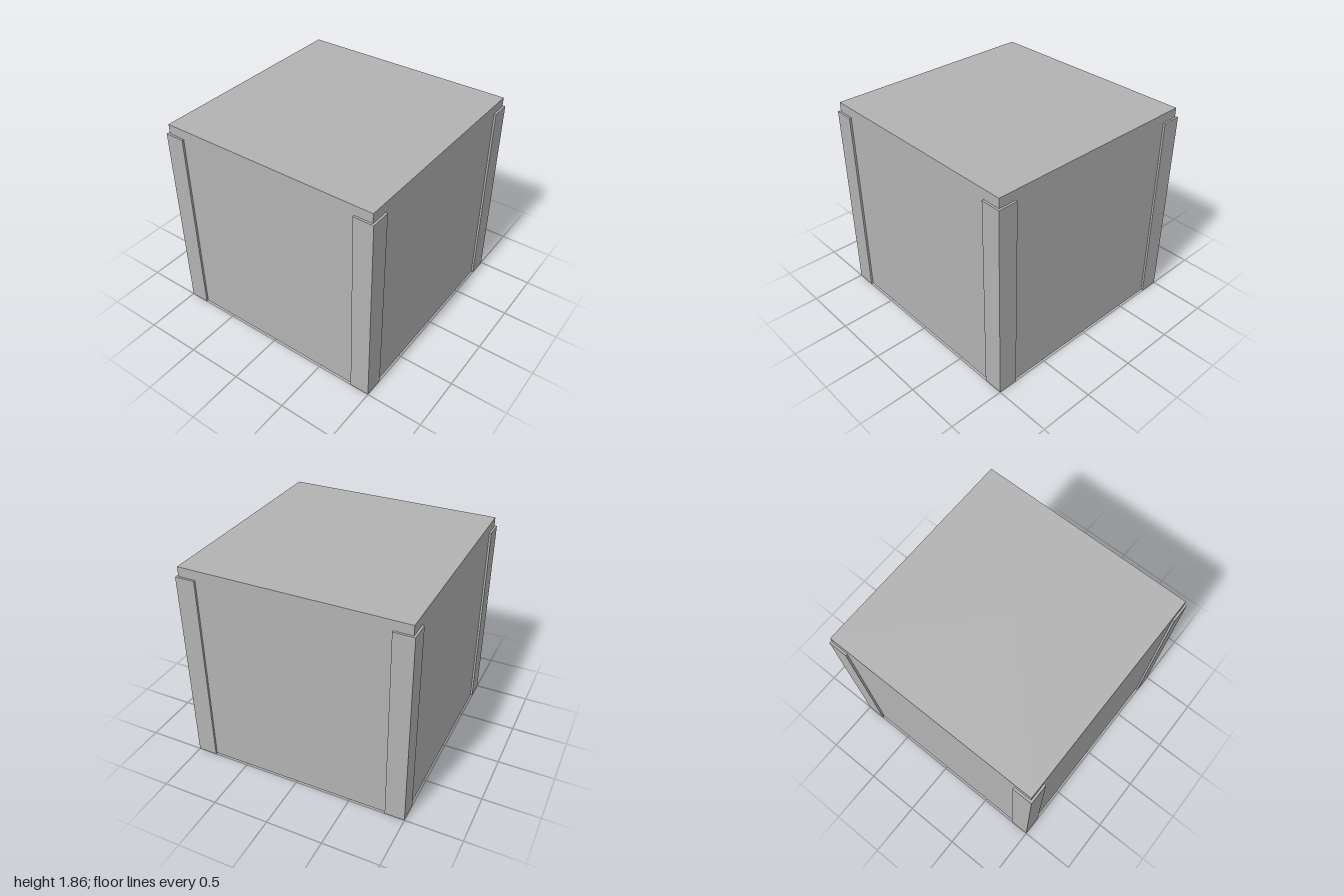
import * as THREE from 'three';

const HEIGHT = 1.86, CEILING = 1.775; // outer top, underside of the top panel
const OUTER = 0.982, INNER = 0.897;   // half widths of the shell
const POST = 0.174;                   // width of the square corner posts

export function createModel() {
  const model = new THREE.Group();
  model.name = 'openBottomBox';
  const grey = new THREE.MeshStandardMaterial({ color: 0xb2b2b2 });
  grey.name = 'plain grey';

  // Hollow shell, open underneath: a wall profile swept around four square sides
  const profile = [
    [0, CEILING], [INNER, CEILING], [INNER, 0],
    [OUTER, 0], [OUTER, HEIGHT], [0, HEIGHT],
  ].map(([w, y]) => new THREE.Vector2(w * Math.SQRT2, y));
  const shellGeometry = new THREE.LatheGeometry(profile, 4, Math.PI / 4).toNonIndexed();
  shellGeometry.computeVertexNormals();
  const shell = new THREE.Mesh(shellGeometry, grey);
  shell.name = 'shell';
  model.add(shell);

  // Square corner posts, standing slightly proud of the walls inside and out
  const postGeometry = new THREE.BoxGeometry(POST, CEILING, POST);
  const offset = 1 - POST / 2;
  for (const x of [-1, 1]) {
    for (const z of [-1, 1]) {
      const post = new THREE.Mesh(postGeometry, grey);
      post.name = (z > 0 ? 'front' : 'back') + (x > 0 ? 'Left' : 'Right') + 'Post';
      post.position.set(x * offset, CEILING / 2, z * offset);
      model.add(post);
    }
  }
  return model;
}
